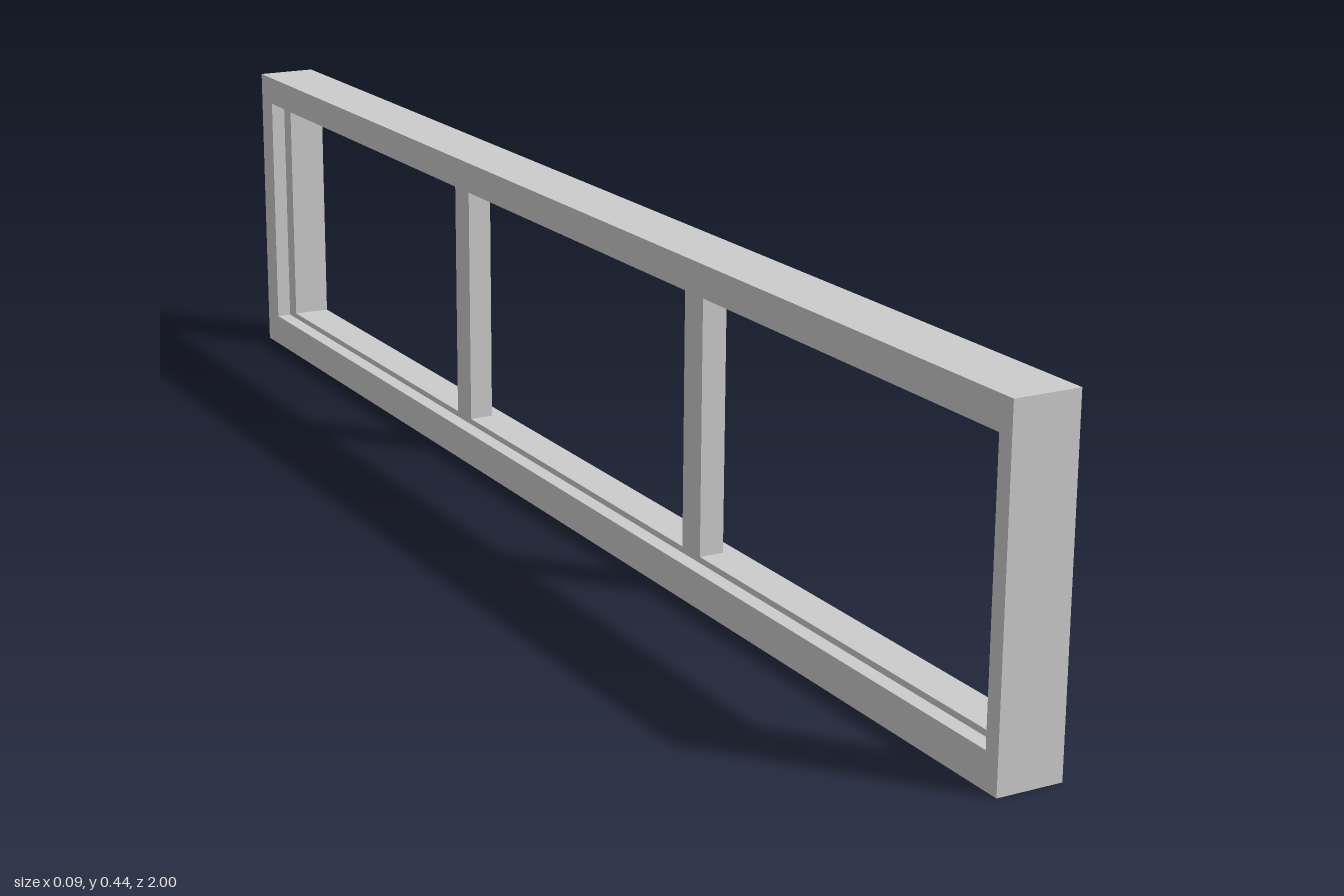
import * as THREE from 'three';

const material = new THREE.MeshStandardMaterial({ color: 0xcccccc });

// Rectangle corners in the plane of the window: z runs along the length, y up
const corners = ([z0, z1, y0, y1]) => [[-z1, y0], [-z0, y0], [-z0, y1], [-z1, y1]]
  .map(([u, v]) => new THREE.Vector2(u, v));

// Rectangular ring between two rectangles, running from x0 to x1
function ring(name, outer, inner, x0, x1) {
  const shape = new THREE.Shape(corners(outer));
  shape.holes.push(new THREE.Path(corners(inner).reverse()));
  const geometry = new THREE.ExtrudeGeometry(shape, { depth: x1 - x0, bevelEnabled: false });
  geometry.translate(0, 0, x0);
  geometry.rotateY(Math.PI / 2);
  const mesh = new THREE.Mesh(geometry, material);
  mesh.name = name;
  return mesh;
}

export function createModel() {
  const group = new THREE.Group();
  group.name = 'windowFrame';

  const outside = [-1, 1, 0, 0.435];
  const reveal = [-0.96, 0.978, 0.046, 0.394];
  const opening = [-0.934, 0.952, 0.054, 0.383];
  const beadBack = -0.022, beadFront = 0.011;

  // Outer frame and the raised bead inside it
  group.add(ring('outerFrame', outside, reveal, -0.0425, 0.0425));
  group.add(ring('innerBead', reveal, opening, beadBack, beadFront));

  // Two upright bars dividing the opening in three
  const [, , y0, y1] = opening;
  for (const z of [0.331, -0.312]) {
    const bar = new THREE.Mesh(new THREE.BoxGeometry(beadFront - beadBack, y1 - y0, 0.043), material);
    bar.position.set((beadBack + beadFront) / 2, (y0 + y1) / 2, z);
    bar.name = 'mullion';
    group.add(bar);
  }
  return group;
}
